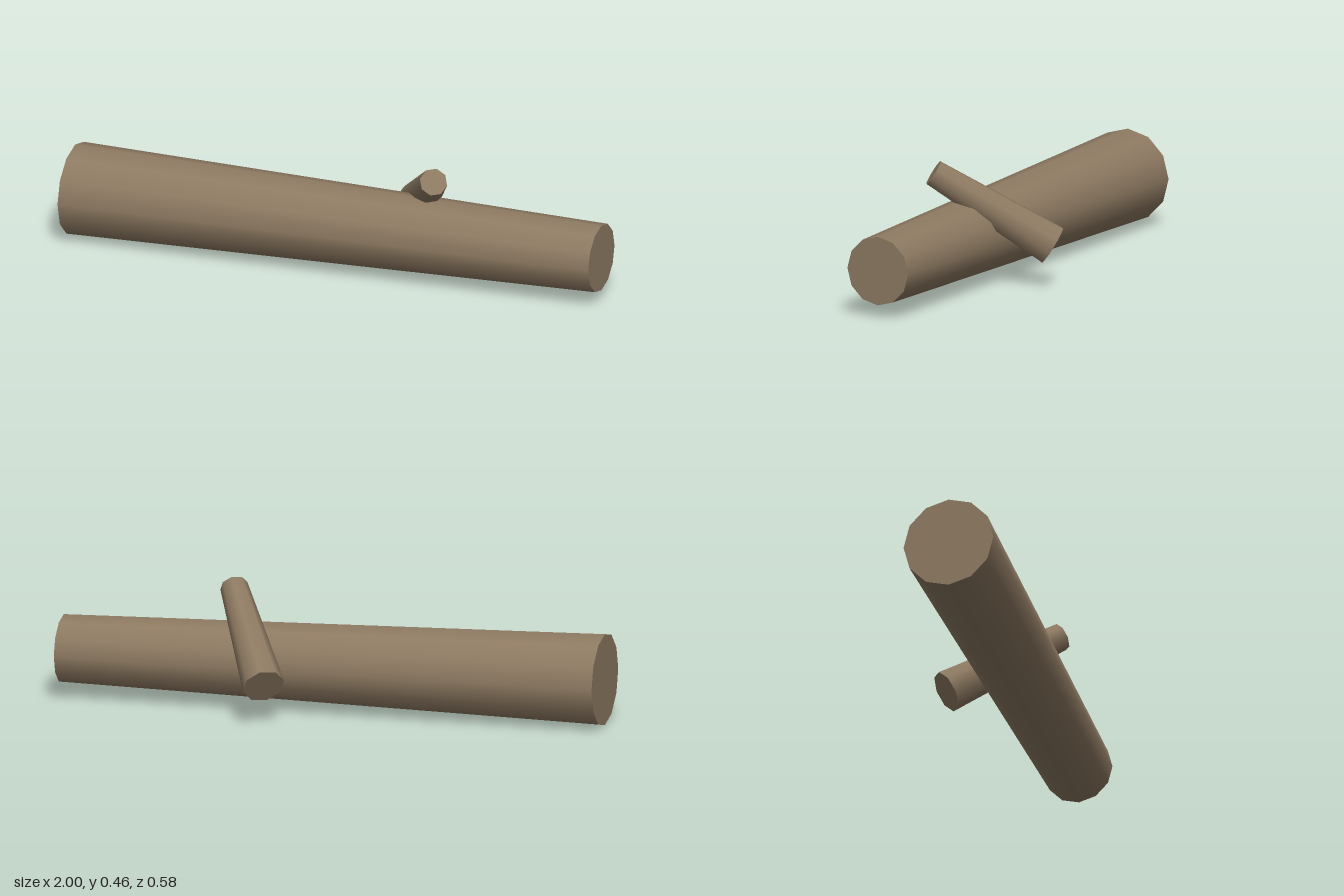
import * as THREE from 'three';

export function createModel() {
  const model = new THREE.Group();
  model.name = 'fallenLog';
  const bark = new THREE.MeshStandardMaterial({ color: 0x8e7a62 });
  bark.name = 'bark';

  // Trunk: tapered 12-sided log along x, skewed in z so both cut ends stay square to x
  const trunkGeo = new THREE.CylinderGeometry(0.169, 0.126, 2, 12);
  trunkGeo.rotateZ(Math.PI / 2);
  trunkGeo.applyMatrix4(new THREE.Matrix4().set(
    1, 0, 0, 0,
    0, 1, 0, 0.171,
    -0.0557, 0, 1, 0.0673,
    0, 0, 0, 1
  ));
  const trunk = new THREE.Mesh(trunkGeo, bark);
  trunk.name = 'trunk';
  model.add(trunk);

  // Branch: tapered 8-sided stub crossing the trunk, thick end low at the back
  const base = new THREE.Vector3(0.175, 0.15, -0.239);
  const tip = new THREE.Vector3(0.395, 0.417, 0.128);
  const axis = tip.clone().sub(base);
  const length = axis.length();
  axis.normalize();
  const side = new THREE.Vector3(1, 0, 0).cross(axis).normalize();
  const branch = new THREE.Mesh(new THREE.CylinderGeometry(0.0505, 0.077, length, 8), bark);
  branch.name = 'branch';
  branch.quaternion.setFromRotationMatrix(
    new THREE.Matrix4().makeBasis(side, axis, side.clone().cross(axis))
  );
  branch.position.copy(base).add(tip).multiplyScalar(0.5);
  model.add(branch);

  return model;
}
